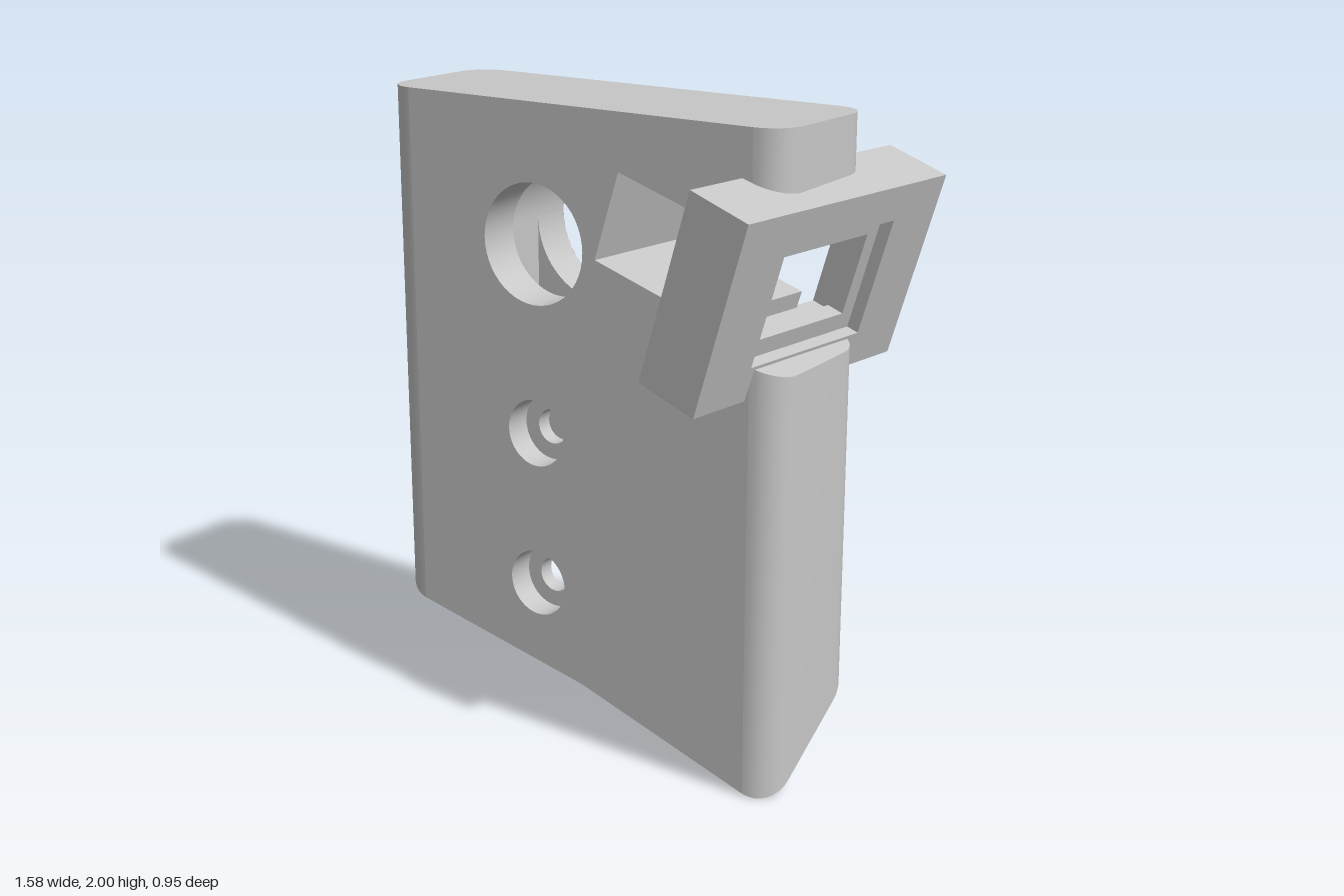
import * as THREE from 'three';

const F = 0.235, B = -0.22, L = -0.79, R = 0.65, RAD = 0.1, TOP = 2;
const TILT = 0.311, YAW = -0.1, CX = 0.555, CY = 1.542;
const HX = -0.217, HY = 1.577, HR = 0.24;
const c = Math.cos(TILT), s = Math.sin(TILT);

// two sloping planes that form the underside, and the crease where they meet
const under = (x, z) => Math.min(
  0.2 - 0.21 * (x + 0.05) - 0.53 * (z - F),
  0.2 - 0.32 * (x + 0.05) - 0.65 * (z - F));
const creaseX = z => -0.05 - 1.09 * (z - F);

// tilted window cut: point (u, v) of the cut at depth z, and its height at a given x
const cut = (u, v, z) => [CX - 0.1 * z + u * c + v * s, CY - u * s + v * c];
const cutY = (x, z, v) => CY + (v - (x - CX + 0.1 * z) * s) / c;

const material = new THREE.MeshStandardMaterial({ color: 0xc7c7c7, side: THREE.DoubleSide });
material.name = 'light grey plastic';

const vec = pts => pts.map(p => new THREE.Vector2(p[0], p[1]));
const circle = (x, y, r) => new THREE.Path().absarc(x, y, r, 0, Math.PI * 2);
const arc = (x, y, r, a0, a1, n) => Array.from({ length: n + 1 }, (_, i) => {
  const a = a0 + (a1 - a0) * i / n;
  return [x + r * Math.cos(a), y + r * Math.sin(a)];
});

function add(group, name, geometry) {
  const mesh = new THREE.Mesh(geometry, material);
  mesh.name = name;
  group.add(mesh);
}

// surface between two rows of 3D points
function strip(a, b, flat = false) {
  const g = new THREE.BufferGeometry(), index = [], n = a.length;
  g.setAttribute('position', new THREE.Float32BufferAttribute([...a, ...b].flat(), 3));
  for (let i = 0; i < n - 1; i++) index.push(i, i + 1, n + i, i + 1, n + i + 1, n + i);
  g.setIndex(index);
  const out = flat ? g.toNonIndexed() : g;
  out.computeVertexNormals();
  return out;
}

// plan outline [x, z] lifted to the height fn(x, z)
function cap(outline, fn, holes = []) {
  const shape = new THREE.Shape(vec(outline));
  holes.forEach(h => shape.holes.push(new THREE.Path(vec(h))));
  const g = new THREE.ShapeGeometry(shape).toNonIndexed(), p = g.attributes.position;
  for (let i = 0; i < p.count; i++) {
    const x = p.getX(i), z = p.getY(i);
    p.setXYZ(i, x, fn(x, z), z);
  }
  g.computeVertexNormals();
  return g;
}

// upright panel at depth z: lower edge on the underside, upper edge listed from right to left,
// pierced by holes [x, y, r]
function panel(z, x0, x1, holes, upperEdge) {
  const low = [[x0, under(x0, z)]], paths = [];
  for (const [x, y, r] of holes) {
    if (y - r > under(x, z)) paths.push(circle(x, y, r));
    else low.push(...arc(x, y, r, Math.PI * 1.4, -Math.PI * 0.4, 30)
      .filter(p => p[1] > under(p[0], z)));
  }
  const cx = creaseX(z);
  if (cx > x0 && cx < x1) low.push([cx, under(cx, z)]);
  low.push([x1, under(x1, z)]);
  const shape = new THREE.Shape(vec([...low, ...upperEdge]));
  shape.holes.push(...paths);
  const g = new THREE.ShapeGeometry(shape, 24);
  g.translate(0, 0, z);
  return g;
}

// round bore along z, trimmed by the underside
function bore(y, r, z0, z1, r1 = r, a0 = 0, a1 = Math.PI * 2) {
  const ring = (z, rad) => arc(HX, y, rad, a0, a1, 48)
    .map(([px, py]) => [px, Math.max(py, under(px, z)), z]);
  return strip(ring(z0, r), ring(z1, r1));
}

// rounded corner in plan
const corner = (x, z, start) => arc(x, z, RAD, start, start - Math.PI / 2, 8);

// front, back and side walls of a cavity rising from the underside
function cavity(group, name, { x0, x1, z0, z1 }, top, holes, frontEdge, backHoles, backEdge) {
  add(group, name + 'Front', panel(z1, x0, x1, holes, frontEdge));
  add(group, name + 'Back', panel(z0, x0, x1, backHoles, backEdge));
  for (const x of [x0, x1]) add(group, name + 'Side', strip(
    [[x, top, z0], [x, top, z1]], [[x, under(x, z0), z0], [x, under(x, z1), z1]]));
}

function makeBody() {
  const body = new THREE.Group();
  body.name = 'body';
  const rightArc = [...corner(R - RAD, F - RAD, Math.PI / 2), ...corner(R - RAD, B + RAD, 0)];
  const leftArc = [...corner(L + RAD, B + RAD, -Math.PI / 2), ...corner(L + RAD, F - RAD, -Math.PI)];
  const lower = (x, z) => cutY(x, z, -0.195), upper = (x, z) => cutY(x, z, 0.185);
  const row = (pts, fn) => pts.map(([x, z]) => [x, fn(x, z), z]);
  const flatTop = () => TOP;

  // rounded side walls and end caps
  add(body, 'leftWall', strip(row(leftArc, flatTop), row(leftArc, under)));
  add(body, 'rightLowerWall', strip(row(rightArc, lower), row(rightArc, under)));
  add(body, 'rightUpperWall', strip(row(rightArc, flatTop), row(rightArc, upper)));
  add(body, 'lowerLedge', cap(rightArc, lower));
  add(body, 'upperLedge', cap(rightArc, upper));
  add(body, 'top', cap([...rightArc, ...leftArc], flatTop));

  // underside, in two planes, open at the pocket, the slot and the lowest screw hole
  const P = { x0: HX - HR, x1: HX + HR, z0: -0.09, z1: 0.1 };
  const S = { x0: -0.38, x1: 0.53, z0: -0.19, z1: -0.13 };
  const creaseAt = z => [creaseX(z), z];
  add(body, 'undersideLeft', cap([creaseAt(F), creaseAt(S.z1), [S.x0, S.z1], [S.x0, S.z0],
    [HX - 0.043, S.z0], [HX - 0.052, B], ...leftArc], under,
    [[[P.x0, P.z0], [P.x1, P.z0], [P.x1, P.z1], [P.x0, P.z1]]]));
  add(body, 'undersideStrip', cap([[HX + 0.035, S.z0], creaseAt(S.z0), creaseAt(B),
    [HX + 0.047, B]], under));
  add(body, 'undersideRight', cap([creaseAt(B), creaseAt(S.z0), [S.x1, S.z0], [S.x1, S.z1],
    creaseAt(S.z1), creaseAt(F), ...rightArc], under));

  // front and back faces with the tilted cut
  const small = [HX, HY, 0.185], large = [HX, HY, HR];
  const screws = r => [[HX, 0.99, r], [HX, 0.5, r]];
  const cutPath = z => [[-0.1, -0.195], [-0.1, -0.14], [-0.5, -0.14], [-0.5, 0.14],
    [-0.1, 0.14], [-0.1, 0.185]].map(([u, v]) => cut(u, v, z));
  const edge = z => [[R - RAD, lower(R - RAD, z)], ...cutPath(z), [R - RAD, upper(R - RAD, z)]];
  const faceEdge = z => [...edge(z), [R - RAD, TOP], [L + RAD, TOP]];
  add(body, 'frontFace', panel(F, L + RAD, R - RAD, [small, ...screws(0.105)], faceEdge(F)));
  add(body, 'backFace', panel(B, L + RAD, R - RAD, [large, ...screws(0.055)], faceEdge(B)));
  const at = z => edge(z).map(p => [...p, z]);
  add(body, 'windowCut', strip(at(F), at(B), true));

  // pocket running up into the large hole, and narrow slot behind it
  cavity(body, 'pocket', P, HY,
    [small, ...screws(0.055)], arc(HX, HY, HR, 0, Math.PI, 32),
    screws(0.055), arc(HX, HY, HR, 0, -Math.PI, 32));
  const slotTop = 1.2, slotEdge = [[S.x1, slotTop], [S.x0, slotTop]];
  cavity(body, 'slot', S, slotTop, screws(0.055), slotEdge, screws(0.055), slotEdge);
  add(body, 'slotCeiling', cap([[S.x0, S.z0], [S.x1, S.z0], [S.x1, S.z1], [S.x0, S.z1]],
    () => slotTop));

  // stepped large hole and counterbored screw holes
  add(body, 'largeHoleFront', bore(HY, small[2], F, P.z1));
  add(body, 'largeHoleUpper', bore(HY, HR, P.z1, B, HR, 0, Math.PI));
  add(body, 'largeHoleLower', bore(HY, HR, P.z0, B, HR, Math.PI, Math.PI * 2));
  for (const y of [0.99, 0.5]) {
    add(body, 'counterbore', bore(y, 0.105, F, 0.15));
    add(body, 'counterboreSeat', bore(y, 0.105, 0.15, 0.15, 0.055));
    for (const [a, b] of [[0.15, P.z1], [P.z0, S.z1], [S.z0, B]])
      add(body, 'screwHole', bore(y, 0.055, a, b));
  }
  return body;
}

// one layer of the window frame, between u0 and u1 along its normal
function frameLayer(u0, u1, halfZ, halfY, screwHoles) {
  const rect = (a, b) => vec([[-a, -b], [a, -b], [a, b], [-a, b]]);
  const shape = new THREE.Shape(rect(0.4575, 0.297));
  shape.holes.push(new THREE.Path(rect(halfZ, halfY)));
  if (screwHoles) for (const z of [-0.38, 0.38]) shape.holes.push(circle(z, 0, 0.05));
  const g = new THREE.ExtrudeGeometry(shape, { depth: u1 - u0, bevelEnabled: false, curveSegments: 16 });
  g.translate(0, 0, u0);
  g.rotateY(Math.PI / 2);
  return g;
}

export function createModel() {
  const model = new THREE.Group();
  model.name = 'mountingBlock';
  model.add(makeBody());

  // tilted window frame with stepped opening
  const frame = new THREE.Group();
  frame.name = 'windowFrame';
  add(frame, 'innerRecess', frameLayer(-0.11, 0.005, 0.3, 0.195, true));
  add(frame, 'windowOpening', frameLayer(0.005, 0.06, 0.2, 0.13, true));
  add(frame, 'outerRecess', frameLayer(0.06, 0.1, 0.25, 0.185, false));
  frame.rotation.set(0, YAW, -TILT, 'YXZ');
  frame.position.set(CX, CY, 0);
  model.add(frame);
  return model;
}
